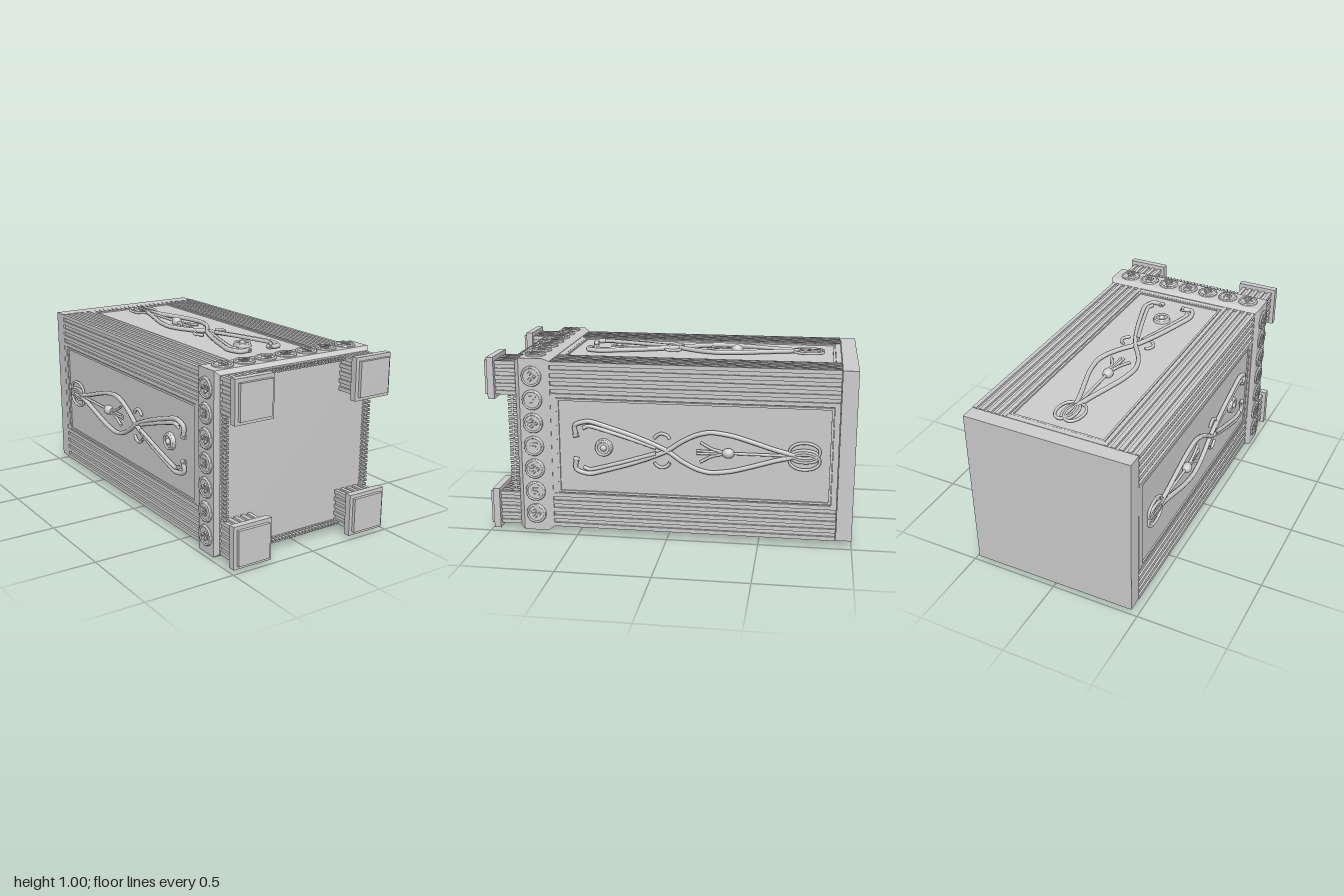
import * as THREE from 'three';

const mat = new THREE.MeshStandardMaterial({ color: 0xcccccc, flatShading: true });
const smooth = new THREE.MeshStandardMaterial({ color: 0xcccccc, side: THREE.DoubleSide });

function add(parent, name, geo, x = 0, y = 0, z = 0, material = mat) {
  const m = new THREE.Mesh(geo, material);
  m.name = name;
  m.position.set(x, y, z);
  parent.add(m);
  return m;
}
const box = (w, h, d) => new THREE.BoxGeometry(w, h, d);

// Square frustum along z, given half widths at both ends
function frustum(h0, h1, z0, z1) {
  const g = new THREE.CylinderGeometry(h1 * Math.SQRT2, h0 * Math.SQRT2, z1 - z0, 4, 1, false, Math.PI / 4);
  return g.rotateX(Math.PI / 2).translate(0, 0, (z0 + z1) / 2);
}

// Square prism along z whose four sides repeat one profile of [u, h] points
function prism(profile, z0, z1) {
  const pts = [];
  for (let k = 0; k < 4; k++) {
    const a = k * Math.PI / 2, c = Math.cos(a), s = Math.sin(a);
    for (const [u, h] of profile) pts.push(new THREE.Vector2(u * c - h * s, u * s + h * c));
  }
  const g = new THREE.ExtrudeGeometry(new THREE.Shape(pts), { depth: z1 - z0, bevelEnabled: false });
  return g.translate(0, 0, z0);
}

// n rectangular grooves cut between u0 and u1, walking from u0 to u1
function grooves(u0, u1, n, h, depth) {
  const step = (u1 - u0) / (2 * n + 1), out = [];
  for (let i = 0; i < n; i++) {
    const a = u0 + step * (2 * i + 1), b = a + step;
    out.push([a, h], [a, h - depth], [b, h - depth], [b, h]);
  }
  return out;
}

// Rounded strand through [x, z] points lying on a panel
function strand(parent, name, pts, r, h = 0.472, closed = false) {
  const curve = new THREE.CatmullRomCurve3(pts.map(([x, z]) => new THREE.Vector3(x, h, z)), closed, 'catmullrom', 0.4);
  return add(parent, name, new THREE.TubeGeometry(curve, pts.length * 6, r, 8, closed), 0, 0, 0, smooth);
}

function medallion(kind) {
  const g = new THREE.Group();
  g.name = 'medallion';
  add(g, 'medallionDisc', new THREE.CylinderGeometry(0.052, 0.06, 0.012, 28), 0, 0.002, 0);
  add(g, 'medallionRim', new THREE.TorusGeometry(0.049, 0.006, 8, 32).rotateX(Math.PI / 2), 0, 0.007, 0, smooth);
  if (kind === 0) {
    // Three leaves on a short stem
    for (const [x, z] of [[0, -0.018], [-0.017, 0.006], [0.017, 0.006]]) {
      add(g, 'leaf', new THREE.CylinderGeometry(0.008, 0.013, 0.007, 4), x, 0.011, z);
    }
    add(g, 'leafStem', box(0.008, 0.006, 0.04), 0, 0.01, 0.01);
    add(g, 'leafFoot', box(0.024, 0.006, 0.006), 0, 0.01, 0.03);
  } else {
    // Three upright bars joined by a foot
    for (const x of [-0.018, 0, 0.018]) add(g, 'bar', box(0.008, 0.006, 0.036), x, 0.01, x ? -0.004 : 0.004);
    add(g, 'barFoot', box(0.036, 0.006, 0.007), 0, 0.01, 0.014);
  }
  return g;
}

function panelOrnament() {
  const g = new THREE.Group();
  g.name = 'panelOrnament';
  for (const s of [-1, 1]) {
    const m = (pts) => pts.map(([x, z]) => [x * s, z]);
    // Crossing strands: hooked foot, bulging upper half
    strand(g, 'longStrand', m([[-0.065, 0.5], [-0.125, 0.505], [-0.148, 0.43], [-0.125, 0.34], [-0.085, 0.21],
      [-0.045, 0.1], [0, 0], [0.055, -0.08], [0.095, -0.16], [0.112, -0.24], [0.098, -0.35], [0.07, -0.45],
      [0.03, -0.58], [0.005, -0.68]]), 0.013, 0.474);
    strand(g, 'innerStrand', m([[-0.11, 0.46], [-0.122, 0.42], [-0.09, 0.3], [-0.06, 0.2], [-0.015, 0.06]]), 0.011, 0.478);
    strand(g, 'hookTip', m([[-0.065, 0.515], [-0.07, 0.485]]), 0.012, 0.474);
    strand(g, 'sideBracket', m([[0.066, -0.015], [0.086, 0], [0.096, 0.03], [0.084, 0.055], [0.068, 0.07]]), 0.009, 0.474);
    // Interlocked rings at the far end
    for (const [cx, rx, rz] of [[0.026, 0.048, 0.08], [0.012, 0.022, 0.066]]) {
      const ring = [];
      for (let i = 0; i < 12; i++) {
        const a = i * Math.PI / 6;
        ring.push([s * cx + rx * Math.cos(a), -0.735 + rz * Math.sin(a)]);
      }
      strand(g, 'knotRing', ring, 0.008, 0.473, true);
    }
    strand(g, 'petal', m([[0.006, -0.3], [0.022, -0.24], [0.055, -0.18]]), 0.008);
    strand(g, 'centrePetal', m([[0.004, -0.3], [0.008, -0.16]]), 0.007);
  }
  // Stem with bud
  strand(g, 'stem', [[0, -0.66], [0, -0.5], [0, -0.34]], 0.008);
  const bud = add(g, 'bud', new THREE.SphereGeometry(0.028, 16, 12), 0, 0.472, -0.33, smooth);
  bud.scale.z = 1.2;
  // Round boss between the feet
  add(g, 'bossDisc', new THREE.CylinderGeometry(0.046, 0.05, 0.016, 28), 0, 0.466, 0.35);
  add(g, 'bossRim', new THREE.TorusGeometry(0.039, 0.007, 8, 28).rotateX(Math.PI / 2), 0, 0.476, 0.35, smooth);
  add(g, 'bossKnob', new THREE.SphereGeometry(0.018, 16, 10), 0, 0.472, 0.35, smooth);
  return g;
}

// Everything that repeats on each of the four long sides
function side() {
  const g = new THREE.Group();
  g.name = 'side';
  for (const [z, d] of [[-0.897, 0.03], [0.628, 0.04]]) add(g, 'panelEnd', box(0.55, 0.03, d), 0, 0.452, z);
  for (const s of [-1, 1]) add(g, 'panelMoulding', box(0.012, 0.014, 1.47), s * 0.261, 0.459, -0.135);
  for (const z of [-0.874, 0.602]) add(g, 'panelMoulding', box(0.534, 0.014, 0.012), 0, 0.459, z);
  g.add(panelOrnament());
  for (let i = 0; i < 7; i++) {
    const m = medallion(i % 2);
    m.position.set((i - 3) * 0.13, 0.487, 0.735);
    g.add(m);
  }
  // Fine toothed fence between the corner blocks
  for (let i = 0; i < 25; i++) add(g, 'tooth', box(0.012, 0.011, 0.055), (i - 12) * 0.0222, 0.455, 0.8525);
  add(g, 'toothRail', box(0.56, 0.009, 0.01), 0, 0.455, 0.856);
  return g;
}

export function createModel() {
  const root = new THREE.Group();
  root.name = 'pillar';
  const body = new THREE.Group();
  body.name = 'pillarBody';
  body.position.y = 0.5;
  root.add(body);

  // Base slab and grooved shaft with recessed panels
  add(body, 'baseSlab', frustum(0.467, 0.467, -1, -0.915));
  const H = 0.469;
  const profile = [[H, H], ...grooves(H, 0.272, 4, H, 0.012), [0.272, H], [0.272, 0.458],
    [-0.272, 0.458], [-0.272, H], ...grooves(-0.272, -H, 4, H, 0.012)];
  add(body, 'shaft', prism(profile, -0.912, 0.65));

  // Capital with chamfered edges
  add(body, 'capitalLower', frustum(0.47, 0.488, 0.64, 0.67));
  add(body, 'capitalBand', frustum(0.488, 0.488, 0.67, 0.805));
  add(body, 'capitalUpper', frustum(0.488, 0.468, 0.805, 0.83));

  for (let k = 0; k < 4; k++) {
    const s = side();
    s.rotation.z = k * Math.PI / 2;
    body.add(s);
  }

  // Four corner blocks with fluted necks
  const W = 0.093;
  const neck = prism([[W, W], ...grooves(W, -W, 4, W, 0.01)], 0.825, 0.95);
  for (const x of [-1, 1]) for (const y of [-1, 1]) {
    const b = new THREE.Group();
    b.name = 'cornerBlock';
    b.position.set(x * 0.3725, y * 0.3725, 0);
    add(b, 'neck', neck);
    add(b, 'flange', frustum(0.115, 0.115, 0.945, 0.982));
    add(b, 'cap', frustum(0.095, 0.095, 0.982, 1));
    body.add(b);
  }
  return root;
}
